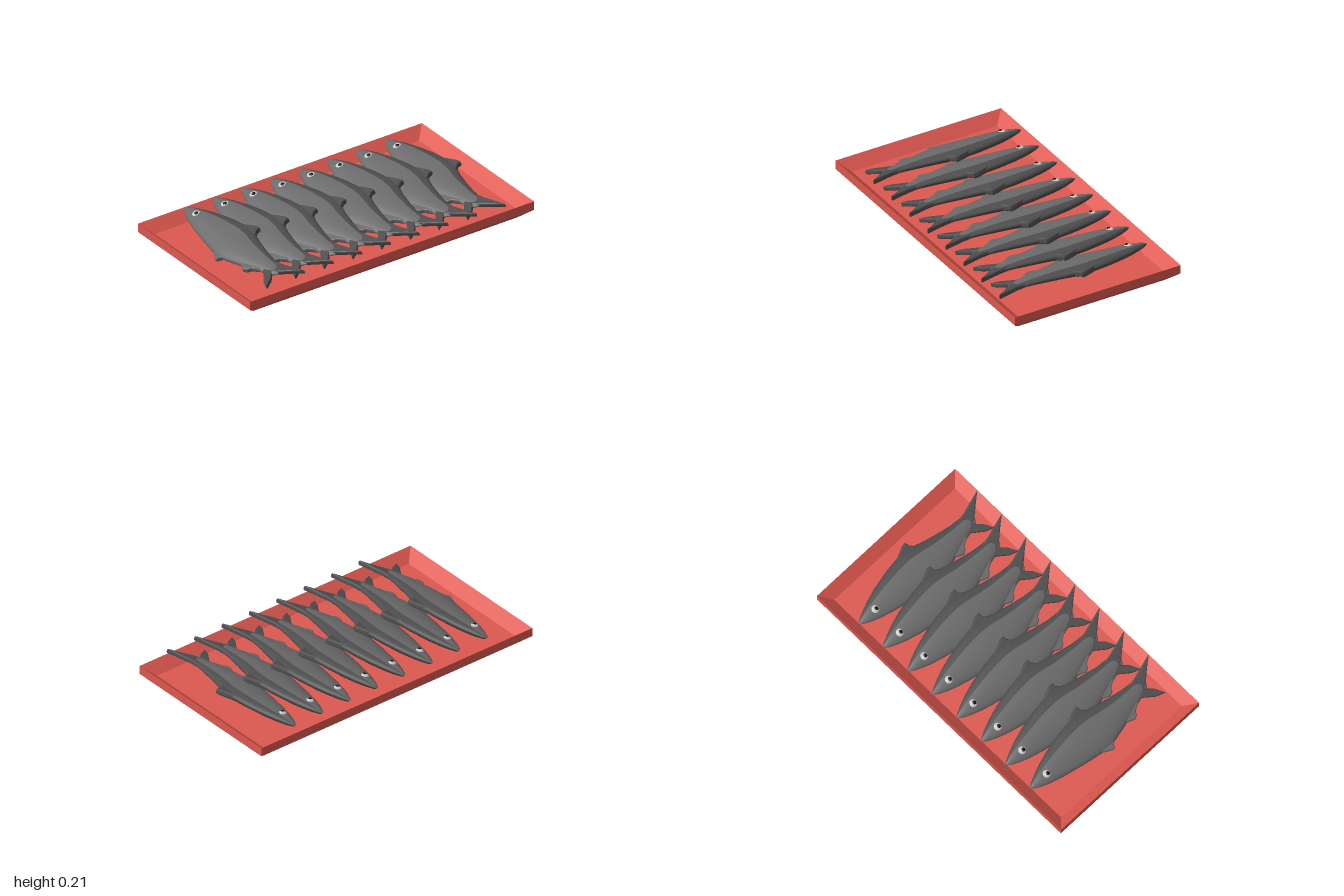
import * as THREE from 'three';

const mat = (color, side = THREE.FrontSide) => new THREE.MeshStandardMaterial({ color, side });
const red = mat(0xdd584f);
red.flatShading = true;
const grey = mat(0x6a6a6a), dark = mat(0x4e4e4e), white = mat(0xe8e8e8), black = mat(0x101010);

function add(parent, name, geometry, material) {
  const mesh = new THREE.Mesh(geometry, material);
  mesh.name = name;
  parent.add(mesh);
  return mesh;
}

function buffer(pos, idx) {
  const g = new THREE.BufferGeometry();
  g.setAttribute('position', new THREE.Float32BufferAttribute(pos, 3));
  g.setIndex(idx);
  return g;
}

// Tray: rectangular rings from the underside, over the rim, down to the floor
function trayGeometry() {
  const rings = [[0.485, 0, 0.93], [0.555, 0.06, 1], [0.555, 0.115, 1], [0.485, 0.055, 0.93]];
  const pos = [], idx = [];
  for (const [x, y, z] of rings) pos.push(-x, y, z, x, y, z, x, y, -z, -x, y, -z);
  for (let r = 0; r < 3; r++) {
    for (let k = 0; k < 4; k++) {
      const a = r * 4 + k, b = r * 4 + (k + 1) % 4;
      idx.push(a, b, b + 4, a, b + 4, a + 4);
    }
  }
  idx.push(0, 2, 1, 0, 3, 2, 12, 13, 14, 12, 14, 15);
  const g = buffer(pos, idx).toNonIndexed();
  g.computeVertexNormals();
  return g;
}

// Fish sections: x, back edge z, belly edge z, half thickness
const sections = [
  [-0.505, -0.003, 0.008, 0.003], [-0.485, -0.016, 0.022, 0.013], [-0.44, -0.037, 0.042, 0.022],
  [-0.38, -0.06, 0.062, 0.029], [-0.3, -0.084, 0.082, 0.034], [-0.18, -0.11, 0.106, 0.038],
  [-0.06, -0.125, 0.126, 0.039], [0.02, -0.118, 0.132, 0.038], [0.1, -0.093, 0.115, 0.035],
  [0.19, -0.073, 0.094, 0.03], [0.28, -0.056, 0.066, 0.024], [0.35, -0.05, 0.05, 0.019],
  [0.4, -0.035, 0.035, 0.012], [0.42, -0.008, 0.008, 0.004],
];

// Lofts the arc from angle a0 to a1 of every section (0 = back, PI = belly)
function loft(a0, a1, steps) {
  const pos = [], idx = [], row = steps + 1;
  sections.forEach(([x, up, low, h], i) => {
    for (let j = 0; j <= steps; j++) {
      const a = a0 + (a1 - a0) * j / steps;
      pos.push(x, h * Math.sin(a), (up + low) / 2 - (low - up) / 2 * Math.cos(a));
      if (i && j) {
        const d = i * row + j, c = d - 1, b = d - row, e = b - 1;
        idx.push(e, b, c, b, d, c);
      }
    }
  });
  const g = buffer(pos, idx);
  g.computeVertexNormals();
  return g;
}

// Thin, softly bevelled fin from an outline of x, z points
function finGeometry(points, thick) {
  const shape = new THREE.Shape(points.map(([x, z]) => new THREE.Vector2(x, -z)));
  const g = new THREE.ExtrudeGeometry(shape, {
    depth: thick * 0.4, bevelThickness: thick * 0.3, bevelSize: 0.006, bevelOffset: -0.006, bevelSegments: 2,
  });
  return g.translate(0, 0, -thick * 0.2).rotateX(-Math.PI / 2);
}

const SPLIT = 0.98;
const backGeo = loft(-SPLIT, SPLIT, 8);
const flankGeo = loft(SPLIT, 2 * Math.PI - SPLIT, 18);
const tailGeo = finGeometry([[0.33, -0.045], [0.39, -0.055], [0.45, -0.073], [0.54, -0.098], [0.48, -0.05], [0.425, -0.003],
  [0.385, 0.022], [0.43, 0.06], [0.465, 0.118], [0.41, 0.1], [0.36, 0.065], [0.33, 0.045]], 0.028);
const dorsalGeo = finGeometry([[-0.12, -0.1], [-0.07, -0.126], [-0.01, -0.153], [0.018, -0.156],
  [0.02, -0.132], [0.035, -0.118], [0.05, -0.085]], 0.036);
const ventralGeo = finGeometry([[-0.06, 0.1], [-0.04, 0.132], [0.012, 0.156], [0.028, 0.15], [0.03, 0.138], [0.06, 0.1]], 0.03);
const analGeo = finGeometry([[0.16, 0.08], [0.19, 0.1], [0.225, 0.114], [0.25, 0.102], [0.262, 0.08], [0.31, 0.055], [0.28, 0.03]], 0.03);
const eyeGeo = new THREE.SphereGeometry(0.024, 16, 10).scale(1, 0.5, 1);
const pupilGeo = new THREE.SphereGeometry(0.012, 12, 8).scale(1, 0.5, 1);

function makeFish() {
  const fish = new THREE.Group();
  add(fish, 'fishBack', backGeo, dark);
  add(fish, 'fishFlanks', flankGeo, grey);
  add(fish, 'tailFin', tailGeo, dark);
  add(fish, 'dorsalFin', dorsalGeo, dark);
  add(fish, 'ventralFin', ventralGeo, grey);
  add(fish, 'analFin', analGeo, grey);
  for (const s of [1, -1]) {
    add(fish, 'eye', eyeGeo, white).position.set(-0.383, s * 0.024, 0.003);
    add(fish, 'pupil', pupilGeo, black).position.set(-0.378, s * 0.033, 0.004);
  }
  return fish;
}

export function createModel() {
  const model = new THREE.Group();
  add(model, 'tray', trayGeometry(), red);

  // Row of fish, each leaning on the one behind it
  for (let i = 0; i < 8; i++) {
    const t = i / 7, tilt = 0.25 + 0.06 * t;
    const fish = makeFish();
    fish.name = 'fish' + (i + 1);
    fish.position.set(0.004 - 0.006 * t, 0.122 + 0.02 * t, -0.71 + 1.41 * t);
    fish.rotation.x = tilt;
    fish.scale.z = 1 / Math.cos(tilt);
    model.add(fish);
  }
  return model;
}
